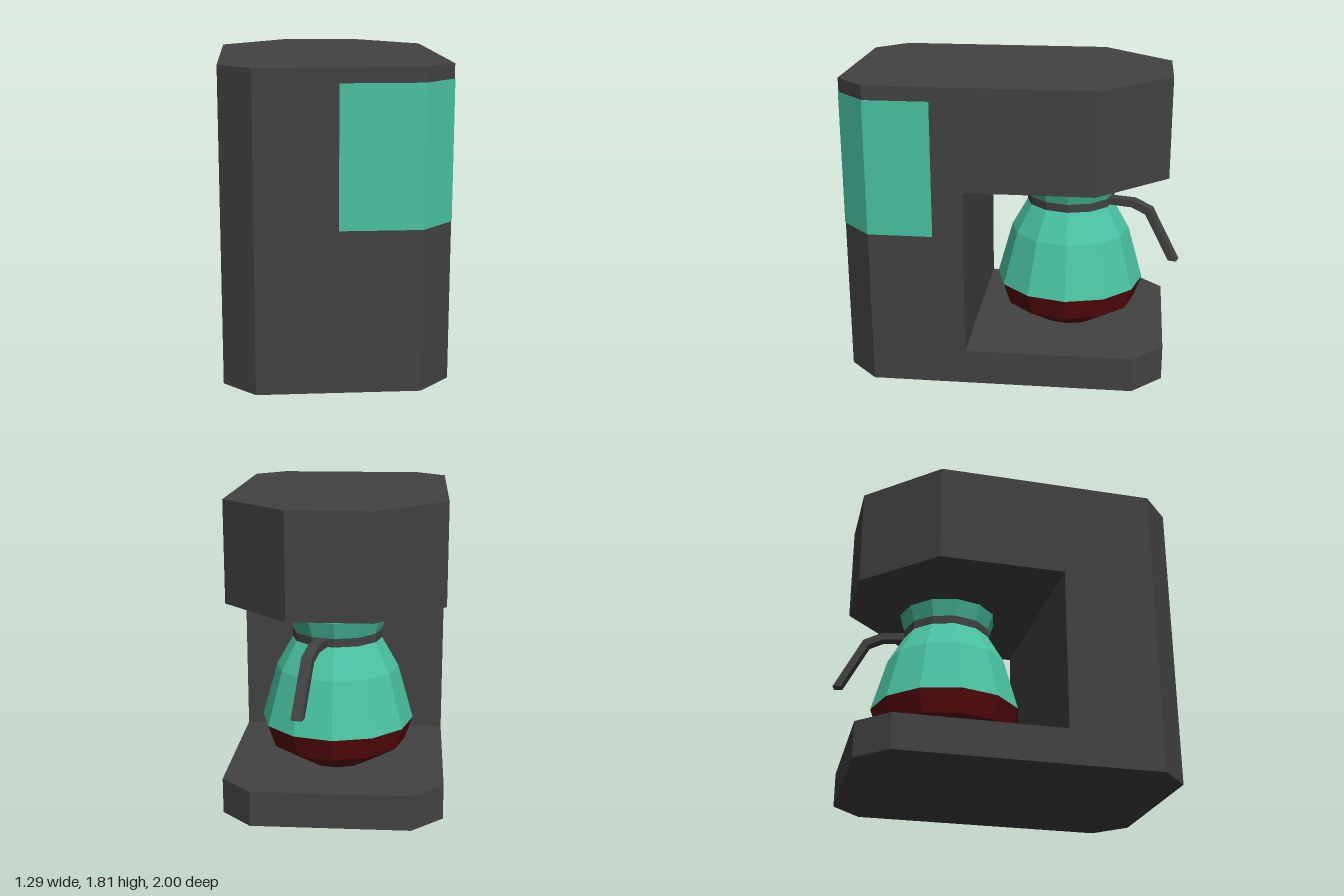
import * as THREE from 'three';

const material = (name, color, extra = {}) => {
  const m = new THREE.MeshStandardMaterial({ color, flatShading: true, ...extra });
  m.name = name;
  return m;
};

// Vertical prism from a plan outline of [x, z] points
function slab(name, plan, y0, y1, mat) {
  const shape = new THREE.Shape(plan.map(([x, z]) => new THREE.Vector2(x, -z)));
  const geo = new THREE.ExtrudeGeometry(shape, { depth: y1 - y0, bevelEnabled: false });
  geo.rotateX(-Math.PI / 2).translate(0, y0, 0);
  const mesh = new THREE.Mesh(geo, mat);
  mesh.name = name;
  return mesh;
}

// Closes a right-hand half outline by mirroring it in x
const mirrored = (half) => [...half, ...half.map(([x, z]) => [-x, z]).reverse()];

// Twelve-sided turned part from [radius, y] points
function turned(name, profile, mat) {
  const points = profile.map(([r, y]) => new THREE.Vector2(r, y));
  const mesh = new THREE.Mesh(new THREE.LatheGeometry(points, 12), mat);
  mesh.name = name;
  return mesh;
}

export function createModel() {
  const plastic = material('dark plastic', 0x424242);
  const glass = material('green glass', 0x49c3a1, { side: THREE.DoubleSide });
  const coffee = material('coffee', 0x5e0a0c);

  const model = new THREE.Group();
  model.name = 'coffeeMachine';

  // Housing: base plate, front column and overhanging head
  const front = [[0.46, 1], [0.643, 0.82]];
  model.add(
    slab('base', mirrored([...front, [0.643, -0.735], [0.46, -0.913]]), 0, 0.21, plastic),
    slab('column', mirrored([...front, [0.643, 0.26]]), 0.21, 1.205, plastic),
    slab('head', mirrored([...front, [0.643, -0.495], [0.24, -0.913]]), 1.205, 1.813, plastic),
  );

  // Thin panel wrapped round the front left corner
  const panel = [
    [0, 1.003], [0.461, 1.003], [0.646, 0.821], [0.646, 0.44],
    [0.641, 0.44], [0.641, 0.818], [0.459, 0.998], [0, 0.998],
  ];
  model.add(slab('cornerPanel', panel, 0.932, 1.73, glass));

  // Carafe
  const carafe = new THREE.Group();
  carafe.name = 'carafe';
  carafe.position.z = -0.318;
  carafe.add(
    turned('coffeeFill', [[0, 0.211], [0.195, 0.211], [0.41, 0.34], [0.457, 0.475], [0, 0.475]], coffee),
    turned('glassJug', [[0.457, 0.475], [0.366, 0.80], [0.264, 0.98], [0.264, 1.025], [0.30, 1.125]], glass),
    turned('neckBand', [[0.255, 0.977], [0.27, 0.977], [0.27, 1.026], [0.255, 1.026]], plastic),
  );

  // Bent handle, pointing backwards and a little to one side
  const outline = [
    [0.25, 0.98], [0.40, 0.98], [0.487, 0.945], [0.642, 0.666],
    [0.693, 0.666], [0.52, 0.98], [0.41, 1.025], [0.25, 1.025],
  ].map(([r, y]) => new THREE.Vector2(r, y));
  const handleGeo = new THREE.ExtrudeGeometry(new THREE.Shape(outline), { depth: 0.064, bevelEnabled: false });
  handleGeo.translate(0, 0, -0.032);
  const handle = new THREE.Mesh(handleGeo, plastic);
  handle.name = 'handle';
  handle.rotation.y = THREE.MathUtils.degToRad(75);
  carafe.add(handle);

  model.add(carafe);
  return model;
}
